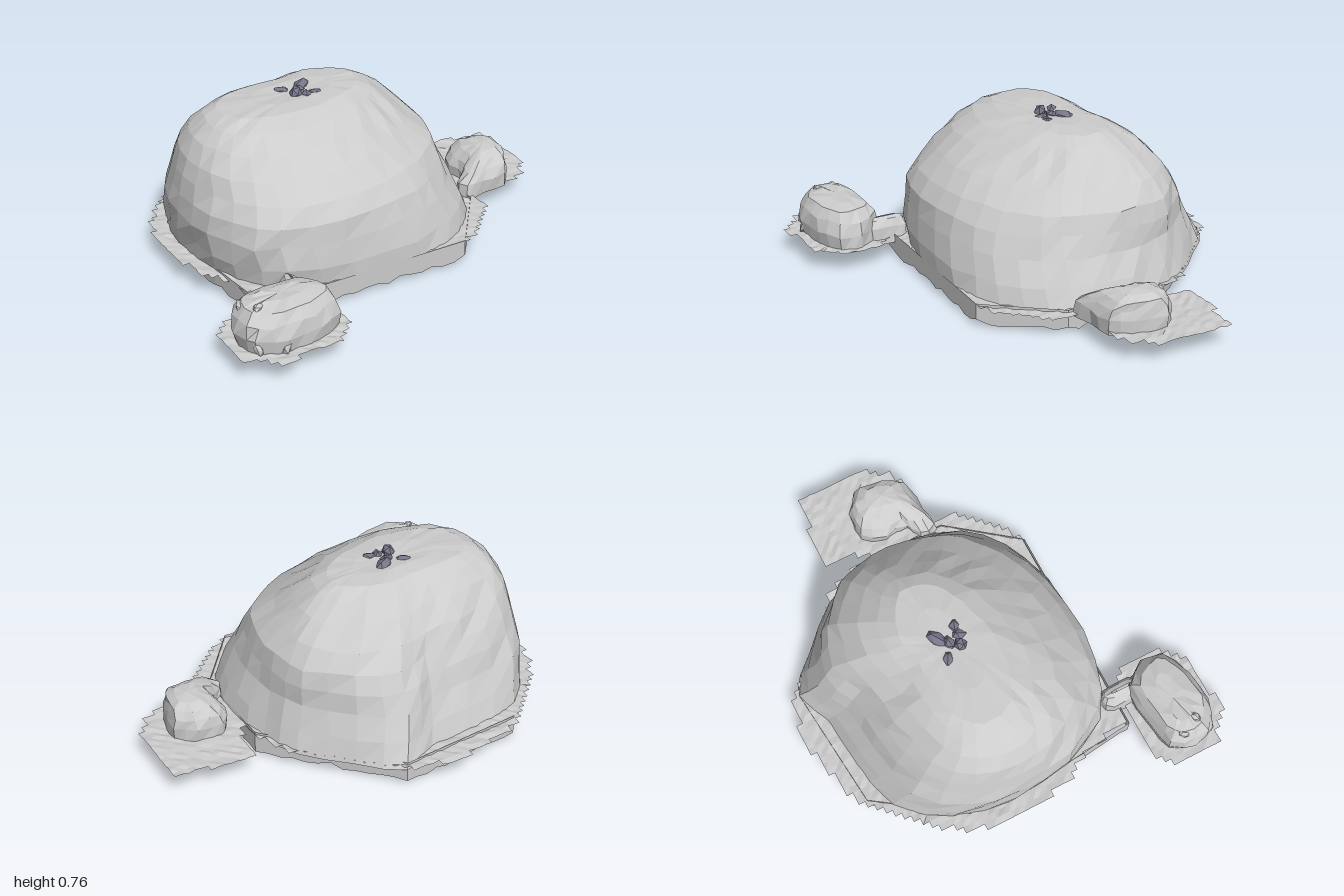
import * as THREE from 'three';

const STONE = new THREE.MeshStandardMaterial({ color: 0xcccccc, flatShading: true, side: THREE.DoubleSide });
const CRYSTAL = new THREE.MeshStandardMaterial({ color: 0x77778a, flatShading: true });

// Repeatable value from -1 to 1 for two integers
const noise = (a, b) => {
  const s = Math.sin(a * 127.1 + b * 311.7) * 43758.5453;
  return (s - Math.floor(s)) * 2 - 1;
};

function meshFrom(name, positions, index) {
  const g = new THREE.BufferGeometry();
  g.setAttribute('position', new THREE.Float32BufferAttribute(positions, 3));
  g.setIndex(index);
  g.computeVertexNormals();
  const mesh = new THREE.Mesh(g, STONE);
  mesh.name = name;
  return mesh;
}

// Loft from one closed outline [x, z] to another, fitted at each level to [y, x0, x1, z0, z1]
function loft(name, lower, upper, levels, rough, seed) {
  const sides = lower.length * 2, pos = [], index = [];
  const curves = [lower, upper].map((o) =>
    new THREE.CatmullRomCurve3(o.map(([x, z]) => new THREE.Vector3(x, 0, z)), true, 'centripetal'));
  const fit = (v, a, b, c, d) => c + (v - a) / (b - a) * (d - c);
  levels.forEach(([y, x0, x1, z0, z1], j) => {
    const blend = Math.min(1, j / (levels.length * 0.5));
    const ring = Array.from({ length: sides }, (_, i) =>
      curves[0].getPoint(i / sides).lerp(curves[1].getPoint(i / sides), blend));
    const box = new THREE.Box3().setFromPoints(ring);
    const amount = j === 0 ? 0 : rough * Math.min(1, (x1 - x0) / (levels[0][2] - levels[0][1]) * 2 - 0.4);
    const wobble = (k) => Math.max(0, amount) * noise(k, j);
    ring.forEach((p, i) => pos.push(
      fit(p.x, box.min.x, box.max.x, x0, x1) + wobble(i + seed),
      y + wobble(i + seed + 40) * 0.7,
      fit(p.z, box.min.z, box.max.z, z0, z1) + wobble(i + seed + 80)));
    if (j === levels.length - 1) return;
    for (let i = 0; i < sides; i++) {
      const a = j * sides + i, b = j * sides + (i + 1) % sides;
      index.push(a, a + sides, b, b, a + sides, b + sides);
    }
  });
  return meshFrom(name, pos, index);
}

function inside(x, z, poly) {
  let hit = false;
  poly.forEach(([ax, az], i) => {
    const [bx, bz] = poly[(i + 1) % poly.length];
    if ((az > z) !== (bz > z) && x < ax + (z - az) / (bz - az) * (bx - ax)) hit = !hit;
  });
  return hit;
}

// Thin ground sheet made of square cells, leaving a stepped edge
function sheet(name, poly) {
  const n = 32, pos = [], index = [];
  const put = (i, k) => pos.push(i / n, 0.118 + 0.005 * noise(i, k), k / n);
  for (let i = -n; i < n; i++) for (let k = -n; k < n; k++) {
    if (!inside((i + 0.5) / n, (k + 0.5) / n, poly)) continue;
    const a = pos.length / 3;
    put(i, k); put(i, k + 1); put(i + 1, k + 1); put(i + 1, k);
    index.push(a, a + 1, a + 2, a, a + 2, a + 3);
  }
  return meshFrom(name, pos, index);
}

// Low wall under the sheet with a ragged lower edge
function wall(name, poly) {
  const pos = [], index = [];
  poly.forEach(([ax, az], e) => {
    const [bx, bz] = poly[(e + 1) % poly.length];
    const steps = Math.ceil(Math.hypot(bx - ax, bz - az) / 0.06);
    for (let s = 0; s < steps; s++) {
      const t = s / steps, id = pos.length / 3;
      const x = ax + (bx - ax) * t, z = az + (bz - az) * t;
      pos.push(x, 0.13, z, x, 0.037 + 0.018 * noise(id, e), z);
    }
  });
  const count = pos.length / 3;
  for (let a = 0; a < count; a += 2) {
    const b = (a + 2) % count;
    index.push(a, b, a + 1, b, b + 1, a + 1);
  }
  return meshFrom(name, pos, index);
}

// Group of stretched crystals: [x, y, z, length, width, turn, tilt]
function crystals(name, list, material) {
  const group = new THREE.Group();
  group.name = name;
  for (const [x, y, z, len, w, turn, tilt] of list) {
    const m = new THREE.Mesh(new THREE.IcosahedronGeometry(1, 0), material);
    m.name = 'crystal';
    m.scale.set(len, w, w);
    m.rotation.set(0, turn, tilt, 'YXZ');
    m.position.set(x, y, z);
    group.add(m);
  }
  return group;
}

export function createModel() {
  const model = new THREE.Group();
  model.name = 'rockMound';

  // Main dome: the shoulder is fuller at the back and cut away towards the front left
  const domeFoot = [[0.53, -0.1], [0.51, 0.12], [0.4, 0.3], [0.2, 0.44], [-0.1, 0.48], [-0.45, 0.45], [-0.68, 0.33],
    [-0.79, 0.1], [-0.83, -0.18], [-0.77, -0.45], [-0.6, -0.67], [-0.3, -0.74], [-0.1, -0.76], [0.07, -0.83],
    [0.24, -0.68], [0.42, -0.49], [0.49, -0.31]];
  const domeShoulder = [[0.5, -0.15], [0.42, 0.05], [0.29, 0.21], [0.1, 0.36], [-0.16, 0.46], [-0.46, 0.45], [-0.66, 0.33],
    [-0.79, 0.1], [-0.82, -0.18], [-0.77, -0.44], [-0.61, -0.64], [-0.32, -0.73], [-0.1, -0.76], [0.08, -0.82],
    [0.3, -0.77], [0.48, -0.58], [0.53, -0.37]];
  model.add(loft('dome', domeFoot, domeShoulder, [
    [0.1, -0.8, 0.57, -0.84, 0.475], [0.2, -0.815, 0.53, -0.79, 0.475], [0.31, -0.83, 0.48, -0.735, 0.46],
    [0.4, -0.815, 0.465, -0.7, 0.44], [0.48, -0.79, 0.44, -0.65, 0.395], [0.56, -0.76, 0.37, -0.59, 0.305],
    [0.64, -0.715, 0.285, -0.51, 0.2], [0.7, -0.65, 0.2, -0.43, 0.1], [0.735, -0.58, 0.13, -0.36, 0.01],
    [0.743, -0.42, 0.0, -0.28, -0.08], [0.735, -0.2, -0.2, -0.18, -0.18]], 0.01, 3));

  // Ground around and below the dome
  model.add(sheet('domeGround', [[-0.88, -0.2], [-0.85, -0.4], [-0.74, -0.57], [-0.5, -0.81], [-0.12, -0.91], [0.1, -0.86],
    [0.3, -0.66], [0.5, -0.47], [0.57, -0.3], [0.58, 0], [0.61, 0.2], [0.46, 0.38], [0.32, 0.48], [-0.71, 0.48],
    [-0.75, 0.25], [-0.85, 0.08]]));
  model.add(wall('baseWall', [[-0.73, 0.475], [0.31, 0.475], [0.56, 0.15], [0.56, -0.3], [0.1, -0.83], [-0.5, -0.77],
    [-0.77, -0.38], [-0.77, 0.1]]));

  // Front right rock with its neck and ground
  const frontRock = [[-0.51, 0.65], [-0.53, 0.75], [-0.65, 0.81], [-0.8, 0.83], [-0.93, 0.79], [-0.97, 0.68],
    [-0.93, 0.57], [-0.8, 0.54], [-0.6, 0.53]];
  model.add(loft('frontRock', frontRock, frontRock, [
    [0.1, -0.95, -0.5, 0.54, 0.83], [0.18, -0.97, -0.5, 0.53, 0.84], [0.24, -0.96, -0.52, 0.54, 0.83],
    [0.285, -0.93, -0.56, 0.565, 0.79], [0.303, -0.87, -0.63, 0.62, 0.73], [0.3, -0.75, -0.75, 0.67, 0.67]], 0.01, 11));
  const neck = [[-0.54, 0.5], [-0.56, 0.62], [-0.62, 0.62], [-0.64, 0.5], [-0.62, 0.4], [-0.55, 0.4]];
  model.add(loft('rockNeck', neck, neck, [
    [0.09, -0.65, -0.53, 0.4, 0.62], [0.17, -0.64, -0.54, 0.4, 0.61], [0.205, -0.61, -0.56, 0.42, 0.6],
    [0.215, -0.59, -0.58, 0.45, 0.58]], 0.006, 5));
  model.add(sheet('frontRockGround', [[-1, 0.56], [-0.92, 0.51], [-0.52, 0.51], [-0.46, 0.61], [-0.47, 0.75], [-0.57, 0.86],
    [-0.76, 0.86], [-0.8, 0.9], [-0.88, 0.9], [-0.9, 0.84], [-1, 0.8]]));
  model.add(crystals('frontRockChips', [[-0.88, 0.29, 0.72, 0.03, 0.02, 0.4, 0.3], [-0.92, 0.27, 0.64, 0.035, 0.02, 1.2, 0.6],
    [-0.8, 0.15, 0.82, 0.05, 0.025, 0.7, 0.9], [-0.92, 0.15, 0.79, 0.04, 0.02, 2, 1]], STONE));

  // Left side rock and its ground
  const sideRock = [[0.88, -0.16], [0.86, 0], [0.8, 0.09], [0.67, 0.1], [0.55, 0.13], [0.55, 0.03], [0.63, 0],
    [0.62, -0.12], [0.67, -0.23], [0.8, -0.23]];
  const sideRockTop = [[0.87, -0.14], [0.85, 0], [0.8, 0.08], [0.7, 0.09], [0.63, 0.09], [0.62, 0.03], [0.64, -0.03],
    [0.65, -0.12], [0.69, -0.2], [0.8, -0.2]];
  model.add(loft('sideRock', sideRock, sideRockTop, [
    [0.1, 0.54, 0.88, -0.23, 0.13], [0.17, 0.55, 0.88, -0.23, 0.125], [0.215, 0.6, 0.87, -0.22, 0.1],
    [0.25, 0.66, 0.86, -0.19, 0.06], [0.272, 0.71, 0.83, -0.14, 0.01], [0.28, 0.77, 0.77, -0.06, -0.06]], 0.009, 23));
  model.add(sheet('sideRockGround', [[0.62, -0.43], [0.84, -0.43], [0.88, -0.4], [1, -0.4], [1, -0.07], [0.92, 0.06],
    [0.84, 0.09], [0.57, 0.09], [0.56, -0.2], [0.62, -0.3]]));

  // Crystal clusters on top of the dome and beneath the base
  const cluster = [[-0.25, 0.73, -0.22, 0.042, 0.025, -0.5, 0.1], [-0.145, 0.73, -0.22, 0.062, 0.034, 0.6, 0.1],
    [-0.215, 0.745, -0.14, 0.038, 0.03, 0.4, 1.3], [-0.125, 0.725, -0.125, 0.042, 0.03, -0.4, 0.1],
    [-0.17, 0.725, -0.12, 0.045, 0.03, 1.2, 0.2], [-0.185, 0.73, -0.18, 0.04, 0.026, 0.2, 0.3]];
  model.add(crystals('topCrystals', cluster, CRYSTAL));
  model.add(crystals('undersideCrystals', cluster.map(([x, y, z, l, w, turn, tilt]) =>
    [-0.18 + (x + 0.18) * 1.6, 0.8 - y, -0.19 + (z + 0.17) * 1.6, l, w, turn, -tilt]), CRYSTAL));
  return model;
}
